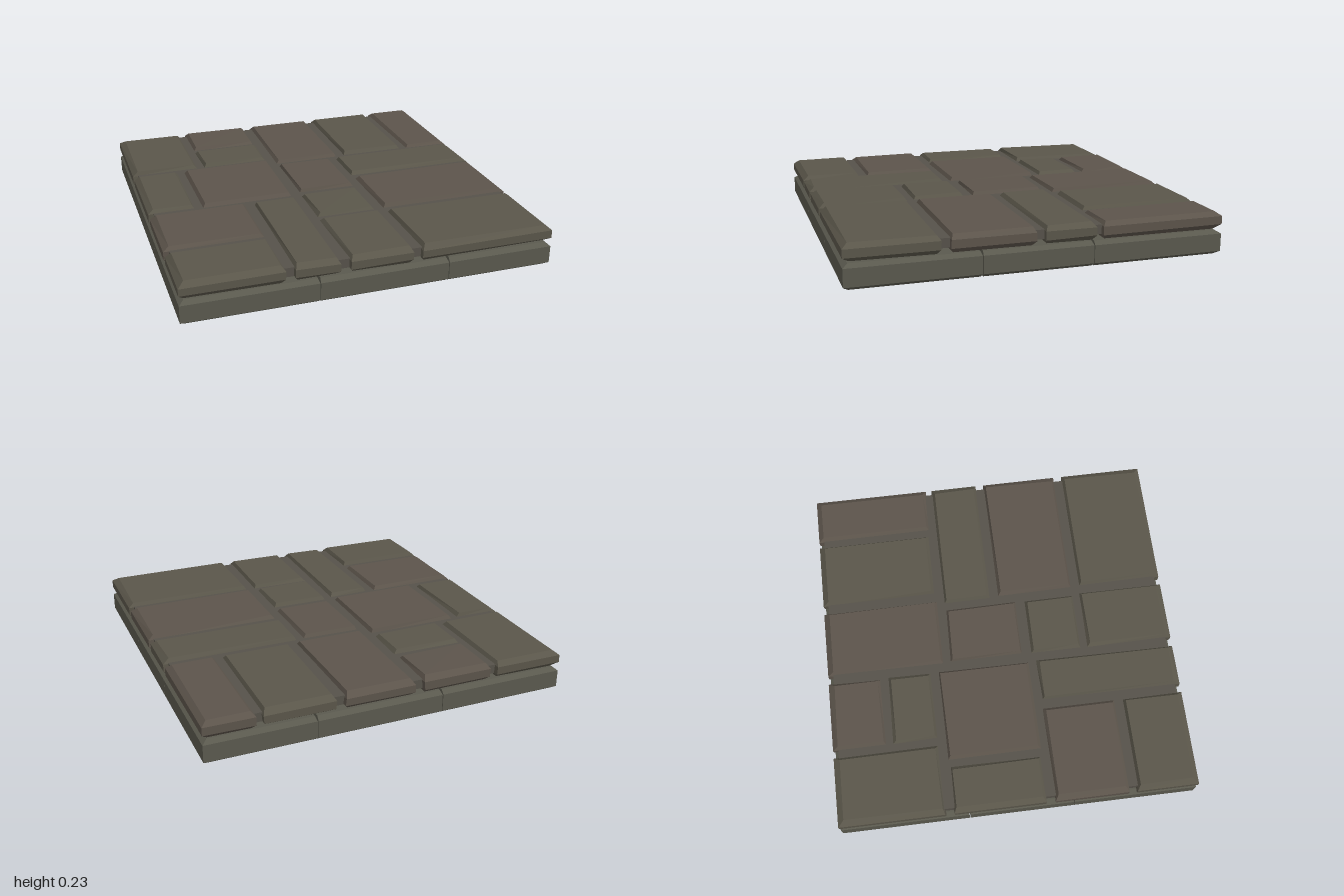
import * as THREE from 'three';

const mat = (name, color) => {
  const m = new THREE.MeshStandardMaterial({ color });
  m.name = name;
  return m;
};

// Closed, flat-shaded block from four-cornered rings stacked bottom to top
function ringBlock(rings) {
  const pos = [];
  const quad = (a, b, c, d) => pos.push(...a, ...b, ...c, ...a, ...c, ...d);
  for (let r = 0; r < rings.length - 1; r++) {
    const lo = rings[r], hi = rings[r + 1];
    for (let i = 0; i < 4; i++) {
      const j = (i + 1) % 4;
      quad(lo[i], lo[j], hi[j], hi[i]);
    }
  }
  const bottom = rings[0];
  quad(bottom[3], bottom[2], bottom[1], bottom[0]);
  quad(...rings[rings.length - 1]);
  const g = new THREE.BufferGeometry();
  g.setAttribute('position', new THREE.Float32BufferAttribute(pos, 3));
  g.computeVertexNormals();
  return g;
}

// Small seeded generator for the worn corners
function seeded(seed) {
  return () => {
    seed = (seed * 16807) % 2147483647;
    return seed / 2147483647 - 0.5;
  };
}

// Paving slabs: x0, x1, z0, z1, tone
const SLABS = [
  [-1, -0.61, -1, -0.41, 0], [-0.57, -0.18, -1, -0.70, 1],
  [-0.57, -0.18, -0.66, -0.41, 0], [-0.13, 0.26, -1, -0.33, 1],
  [0.31, 0.69, -1, -0.34, 0], [0.73, 1, -1, -0.33, 1],
  [-1, -0.74, -0.36, 0.15, 0], [-0.70, -0.18, -0.37, 0.16, 1],
  [-0.13, 0.20, -0.29, 0.13, 1], [0.24, 1, -0.29, -0.02, 0],
  [0.25, 1, 0.03, 0.47, 1], [-1, -0.47, 0.20, 0.61, 1],
  [-0.42, -0.18, 0.20, 1, 0], [-0.13, 0.20, 0.18, 0.47, 0],
  [-0.13, 0.21, 0.51, 1, 0], [0.26, 1, 0.52, 1, 0],
  [-1, -0.47, 0.66, 1, 0],
];

// Slab with chamfers above and below, deeper along the outer border
function slabGeometry([x0, x1, z0, z1], rand) {
  const inset = (v, dir, k) => v + dir * k * (Math.abs(v) === 1 ? 0.033 : 0.016);
  const ring = (y, k) => {
    const a = inset(x0, 1, k), b = inset(x1, -1, k);
    const c = inset(z0, 1, k), d = inset(z1, -1, k);
    return [[a, d], [b, d], [b, c], [a, c]].map(([x, z]) => {
      const worn = (v) => (Math.abs(v) === 1 ? v : v + rand() * 0.008);
      return [worn(x), y + rand() * 0.006, worn(z)];
    });
  };
  return ringBlock([ring(0.138, 1), ring(0.165, 0), ring(0.208, 0), ring(0.232, 1)]);
}

// Border block along the front edge; ends at the corners are mitred
function borderGeometry(start, end) {
  const ring = (y, b) => {
    const outer = 1 - b, inner = 0.84 + b;
    const left = (v) => (start === null ? -v : start + 0.002 + b * 0.15);
    const right = (v) => (end === null ? v : end - 0.002 - b * 0.15);
    return [
      [left(outer), y, outer], [right(outer), y, outer],
      [right(inner), y, inner], [left(inner), y, inner],
    ];
  };
  return ringBlock([ring(0, 0.028), ring(0.02, 0), ring(0.115, 0), ring(0.132, 0.028)]);
}

export function createModel() {
  const model = new THREE.Group();
  model.name = 'stoneFloor';
  const tones = [mat('olive stone', 0x5a564a), mat('warm stone', 0x5c544b)];
  const borderStone = mat('border stone', 0x5a594e);
  const mortar = mat('mortar', 0x56524a);
  const wood = mat('wood', 0x5e3e2c);

  const add = (parent, name, geometry, material) => {
    const mesh = new THREE.Mesh(geometry, material);
    mesh.name = name;
    parent.add(mesh);
    return mesh;
  };

  // Paving
  const paving = new THREE.Group();
  paving.name = 'paving';
  const rand = seeded(4217);
  SLABS.forEach((s, i) => add(paving, `slab${i + 1}`, slabGeometry(s, rand), tones[s[4]]));
  add(paving, 'mortarBed', new THREE.BoxGeometry(1.94, 0.05, 1.94), mortar).position.y = 0.188;
  model.add(paving);

  // Border: three blocks on each side
  const seams = [[-0.29, 0.41], [-0.31, 0.28], [-0.41, 0.29], [-0.28, 0.31]];
  const sides = ['front', 'left', 'back', 'right'];
  seams.forEach(([a, b], k) => {
    const side = new THREE.Group();
    side.name = `${sides[k]}Border`;
    side.rotation.y = k * Math.PI / 2;
    [[null, a], [a, b], [b, null]].forEach(([s, e], i) =>
      add(side, `borderBlock${i + 1}`, borderGeometry(s, e), borderStone));
    model.add(side);
  });

  // Wooden joists between the front and back borders
  [-0.67, 0, 0.67].forEach((x, i) => {
    const joist = add(model, `joist${i + 1}`, new THREE.BoxGeometry(0.13, 0.11, 1.7), wood);
    joist.position.set(x, 0.07, 0);
  });

  return model;
}
